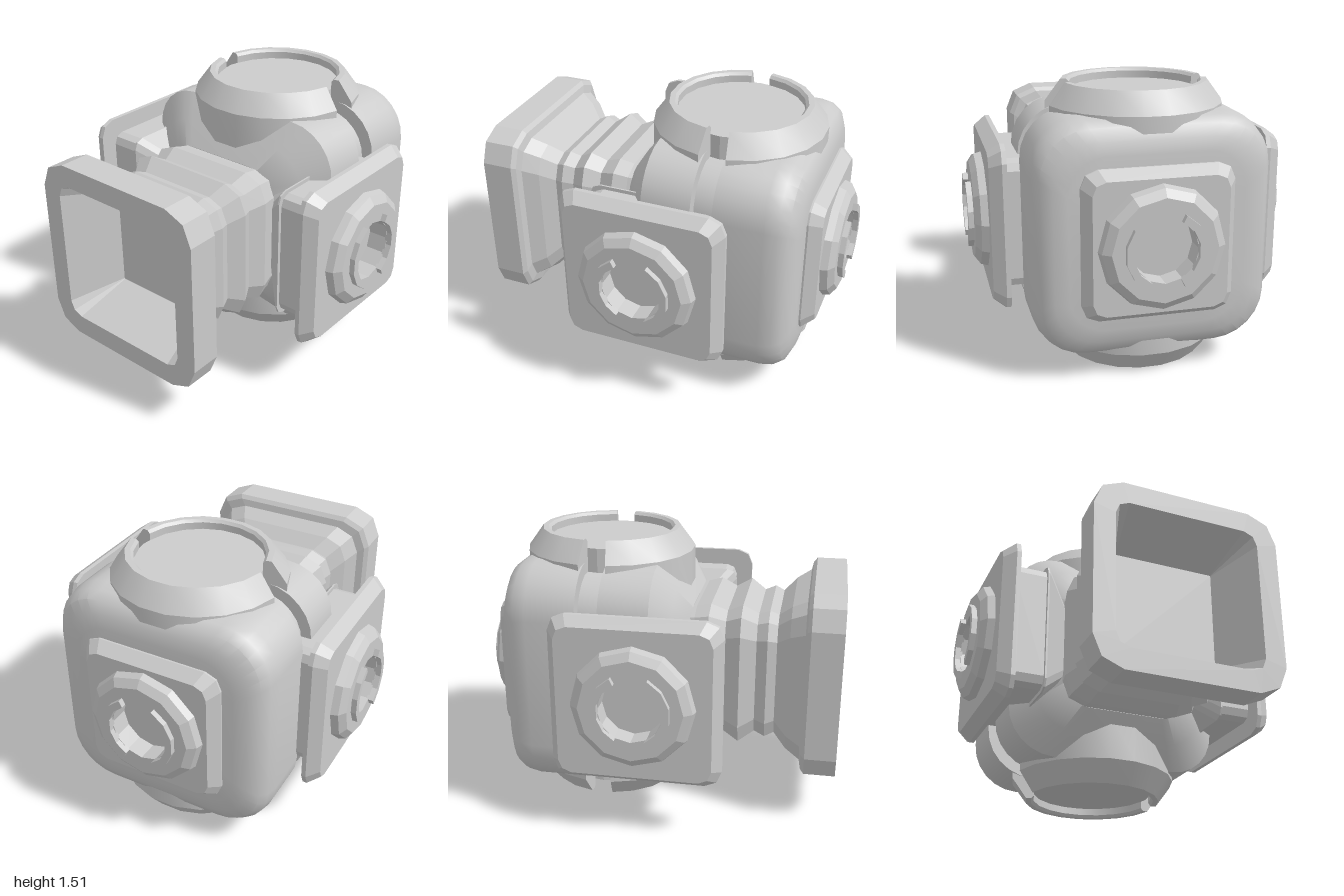
import * as THREE from 'three';
import { mergeGeometries, toCreasedNormals } from 'three/addons/utils/BufferGeometryUtils.js';

const flat = new THREE.MeshStandardMaterial({ color: 0xcccccc, flatShading: true, side: THREE.DoubleSide });
const smooth = new THREE.MeshStandardMaterial({ color: 0xcccccc });
const CY = 0.757;       // height of the centre
const CUT = -0.33;      // z of the groove between the two shells

function add(parent, name, geometry, material = flat) {
  const mesh = new THREE.Mesh(geometry, material);
  mesh.name = name;
  parent.add(mesh);
  return mesh;
}

// Rounded-square cross-sections [z, half size, corner radius] joined along z
function loft(sections, { steps = 2, capStart = true, capEnd = true } = {}) {
  const pos = [], index = [];
  const n = 4 * (steps + 1);
  for (const [z, h, r] of sections) {
    for (let c = 0; c < 4; c++) {
      const q = Math.PI / 4 + c * Math.PI / 2;
      const cx = Math.sign(Math.cos(q)) * (h - r), cy = Math.sign(Math.sin(q)) * (h - r);
      for (let s = 0; s <= steps; s++) {
        const a = (c + s / steps) * Math.PI / 2;
        pos.push(cx + r * Math.cos(a), cy + r * Math.sin(a), z);
      }
    }
  }
  for (let i = 0; i < sections.length - 1; i++) {
    for (let j = 0; j < n; j++) {
      const a = i * n + j, b = i * n + (j + 1) % n;
      index.push(a, b, b + n, a, b + n, a + n);
    }
  }
  const last = (sections.length - 1) * n;
  for (let j = 1; j < n - 1; j++) {
    if (capStart) index.push(0, j + 1, j);
    if (capEnd) index.push(last, last + j, last + j + 1);
  }
  const g = new THREE.BufferGeometry();
  g.setAttribute('position', new THREE.Float32BufferAttribute(pos, 3));
  g.setIndex(index);
  g.computeVertexNormals();
  return g;
}

const points = list => list.map(([x, y]) => new THREE.Vector2(x, y));

// Part of a turned ring with closed ends, centred on the angle mid
function ringArc(profile, mid, half, segments) {
  const pts = points(profile);
  const parts = [new THREE.LatheGeometry([...pts, pts[0]], segments, mid - half, 2 * half)];
  for (const phi of [mid - half, mid + half]) {
    parts.push(new THREE.ShapeGeometry(new THREE.Shape(pts)).rotateY(phi - Math.PI / 2));
  }
  return mergeGeometries(parts.map(p => p.toNonIndexed()));
}

// Square flange with a round boss, a hole and two curved lugs, facing +z
function makePort(name, h) {
  const port = new THREE.Group();
  port.name = name;
  add(port, 'flange', loft([
    [0, h, 0.09], [0.025, h, 0.09], [0.09, h - 0.047, 0.07], [0.09, 0.2, 0.15],
  ], { capEnd: false }));
  add(port, 'boss', new THREE.LatheGeometry(points([
    [0.33, 0.09], [0.318, 0.13], [0.275, 0.16], [0.17, 0.16], [0.17, 0.05], [0, 0.05],
  ]), 12).rotateX(Math.PI / 2));
  const lug = [[0.17, 0.15], [0.21, 0.15], [0.21, 0.19], [0.17, 0.19]];
  for (const side of [1, -1]) {
    add(port, 'lug', ringArc(lug, side * Math.PI / 2, 1.1, 5).rotateX(Math.PI / 2));
  }
  return port;
}

// Round collar in two halves around a recessed cap, facing +y
function makeCollar(name) {
  const collar = new THREE.Group();
  collar.name = name;
  const profile = [[0.345, 0.4], [0.475, 0.4], [0.475, 0.64], [0.39, 0.755], [0.36, 0.755], [0.345, 0.74]];
  for (const mid of [0, Math.PI]) {
    add(collar, 'collarHalf', toCreasedNormals(ringArc(profile, mid, Math.PI / 2 - 0.155, 9), 0.5),
      new THREE.MeshStandardMaterial({ color: 0xcccccc, side: THREE.DoubleSide }));
  }
  add(collar, 'cap', new THREE.CylinderGeometry(0.35, 0.35, 0.3, 20).translate(0, 0.55, 0));
  return collar;
}

export function createModel() {
  const model = new THREE.Group();
  const core = new THREE.Group();
  core.name = 'valveBody';
  core.position.y = CY;
  model.add(core);

  // Two rounded shells with a narrower core showing in the groove
  const shell = (name, sections) =>
    add(core, name, toCreasedNormals(loft(sections, { steps: 6 }), 0.55), smooth);
  shell('backShell', [
    [-0.825, 0.46, 0.2], [-0.812, 0.53, 0.23], [-0.78, 0.59, 0.25], [-0.73, 0.622, 0.27],
    [-0.66, 0.632, 0.27], [-0.39, 0.632, 0.27],
  ]);
  shell('grooveCore', [[-0.42, 0.57, 0.24], [-0.24, 0.57, 0.24]]);
  shell('frontShell', [[-0.27, 0.625, 0.27], [0, 0.625, 0.27], [0.1, 0.5, 0.22], [0.18, 0.38, 0.16]]);

  // Ribbed neck ending in a hollow square mouth
  add(core, 'neckAndMouth', loft([
    [0.1, 0.37, 0.13], [0.2, 0.38, 0.13], [0.28, 0.4, 0.14], [0.37, 0.36, 0.12], [0.455, 0.405, 0.14],
    [0.54, 0.35, 0.12], [0.6, 0.373, 0.13], [0.65, 0.35, 0.12], [0.72, 0.415, 0.13], [0.8, 0.46, 0.14],
    [0.81, 0.5, 0.15], [0.83, 0.522, 0.16], [1, 0.522, 0.16], [1, 0.405, 0.075], [0.7, 0.285, 0.004],
  ]));

  // Side ports on short square necks
  for (const side of [1, -1]) {
    const port = makePort(side > 0 ? 'leftPort' : 'rightPort', 0.457);
    add(port, 'portNeck', loft([
      [-0.35, 0.22, 0.05], [-0.19, 0.38, 0.06], [-0.18, 0.38, 0.06], [-0.18, 0.36, 0.06], [0.01, 0.36, 0.06],
    ]));
    port.position.set(side * 0.71, 0, -0.045);
    port.rotation.y = side * Math.PI / 2;
    core.add(port);
  }

  // Back port
  const back = makePort('backPort', 0.4);
  back.position.z = -0.81;
  back.rotation.y = Math.PI;
  core.add(back);

  // Top and bottom collars
  for (const name of ['topCollar', 'bottomCollar']) {
    const collar = makeCollar(name);
    collar.position.z = CUT;
    if (name === 'bottomCollar') collar.rotation.x = Math.PI;
    core.add(collar);
  }
  return model;
}
